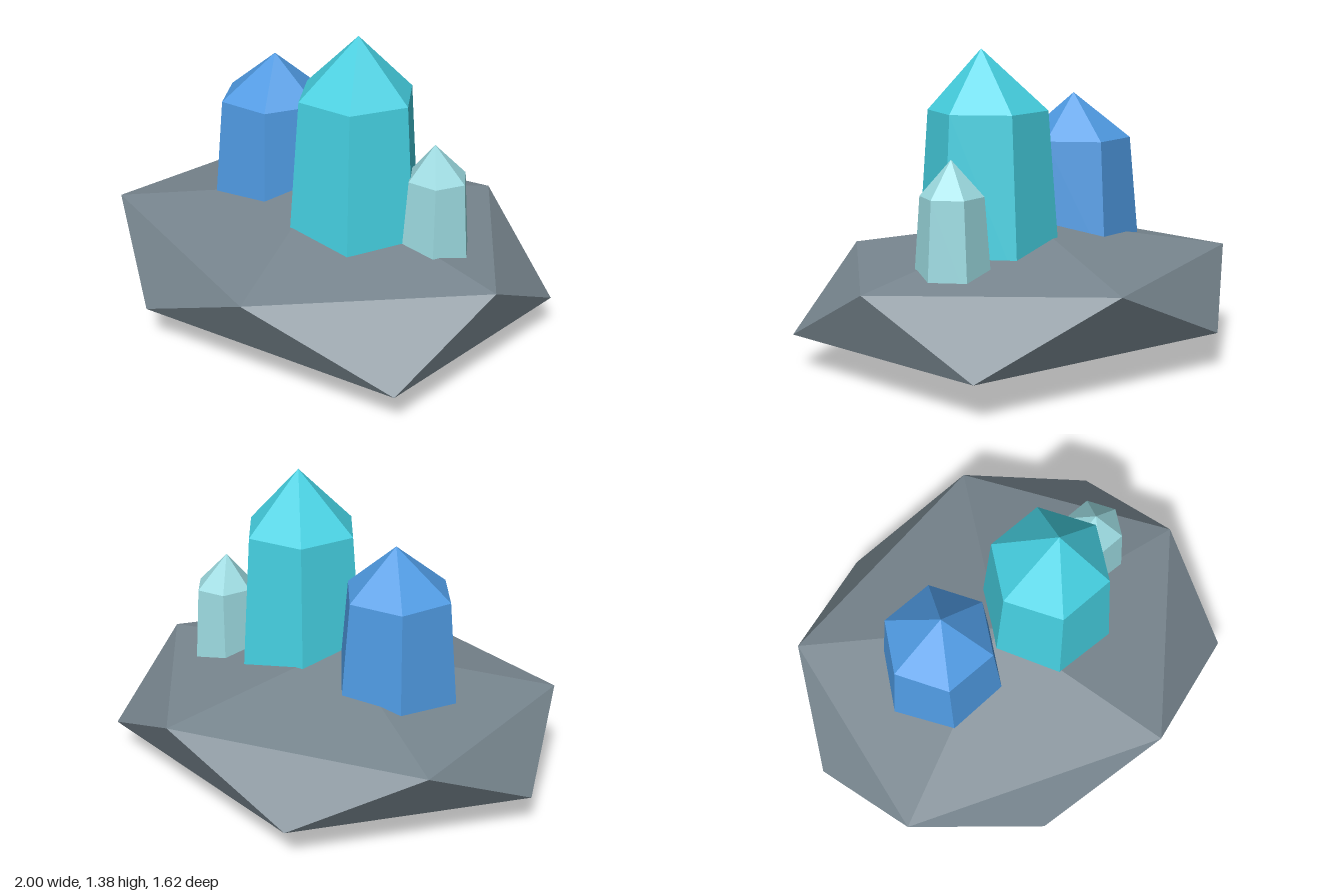
import * as THREE from 'three';

function material(name, color) {
  const m = new THREE.MeshStandardMaterial({ color, flatShading: true });
  m.name = name;
  return m;
}

// Squat twenty-sided boulder: a top point, two staggered rings of five, a bottom point
function rockGeometry() {
  const top = [0, 0.6, 0];
  const bottom = [0.02, 0, 0];
  const upper = [[1, 0.43, 0], [0.34, 0.44, 0.81], [-0.83, 0.44, 0.5], [-0.79, 0.44, -0.5], [0.34, 0.435, -0.8]];
  const lower = [[0.93, 0.155, 0.54], [-0.29, 0.167, 0.8], [-1, 0.17, 0], [-0.3, 0.165, -0.815], [0.91, 0.155, -0.54]];
  const positions = [];
  const face = (...corners) => corners.forEach((c) => positions.push(...c));
  for (let i = 0; i < 5; i++) {
    const j = (i + 1) % 5;
    face(top, upper[j], upper[i]);
    face(upper[i], upper[j], lower[i]);
    face(lower[i], upper[j], lower[j]);
    face(bottom, lower[i], lower[j]);
  }
  const geometry = new THREE.BufferGeometry();
  geometry.setAttribute('position', new THREE.Float32BufferAttribute(positions, 3));
  geometry.computeVertexNormals();
  return geometry;
}

// Tapered hexagonal crystal with a pointed cap whose tip sits slightly off centre
function crystalGeometry({ baseY, baseR, shoulderY, shoulderR, tipY, tipShift }) {
  const profile = [[0, baseY], [baseR, baseY], [shoulderR, shoulderY], [0, tipY]];
  const geometry = new THREE.LatheGeometry(
    profile.map(([r, y]) => new THREE.Vector2(r, y)), 6, THREE.MathUtils.degToRad(37));
  const p = geometry.attributes.position;
  for (let i = 0; i < p.count; i++) {
    if (p.getY(i) > shoulderY + 0.01) p.setXYZ(i, tipShift[0], tipY, tipShift[1]);
  }
  return geometry;
}

export function createModel() {
  const group = new THREE.Group();
  group.name = 'crystalCluster';

  const add = (name, geometry, mat, x = 0, z = 0) => {
    const mesh = new THREE.Mesh(geometry, mat);
    mesh.name = name;
    mesh.position.set(x, 0, z);
    group.add(mesh);
  };

  add('rockBase', rockGeometry(), material('slateGrey', 0x78868f));

  // Crystals are sunk a little into the rock
  add('tallCrystal', crystalGeometry({
    baseY: 0.4, baseR: 0.316, shoulderY: 1.11, shoulderR: 0.263, tipY: 1.375, tipShift: [0.023, 0.015],
  }), material('turquoise', 0x45cfe0), 0.24, 0.033);

  add('middleCrystal', crystalGeometry({
    baseY: 0.4, baseR: 0.296, shoulderY: 0.95, shoulderR: 0.246, tipY: 1.155, tipShift: [0.018, 0.003],
  }), material('blue', 0x4f9ae2), -0.307, -0.003);

  add('smallCrystal', crystalGeometry({
    baseY: 0.38, baseR: 0.166, shoulderY: 0.79, shoulderR: 0.135, tipY: 0.94, tipShift: [-0.008, 0.012],
  }), material('paleAqua', 0x9bd9df), 0.588, -0.1);

  return group;
}
